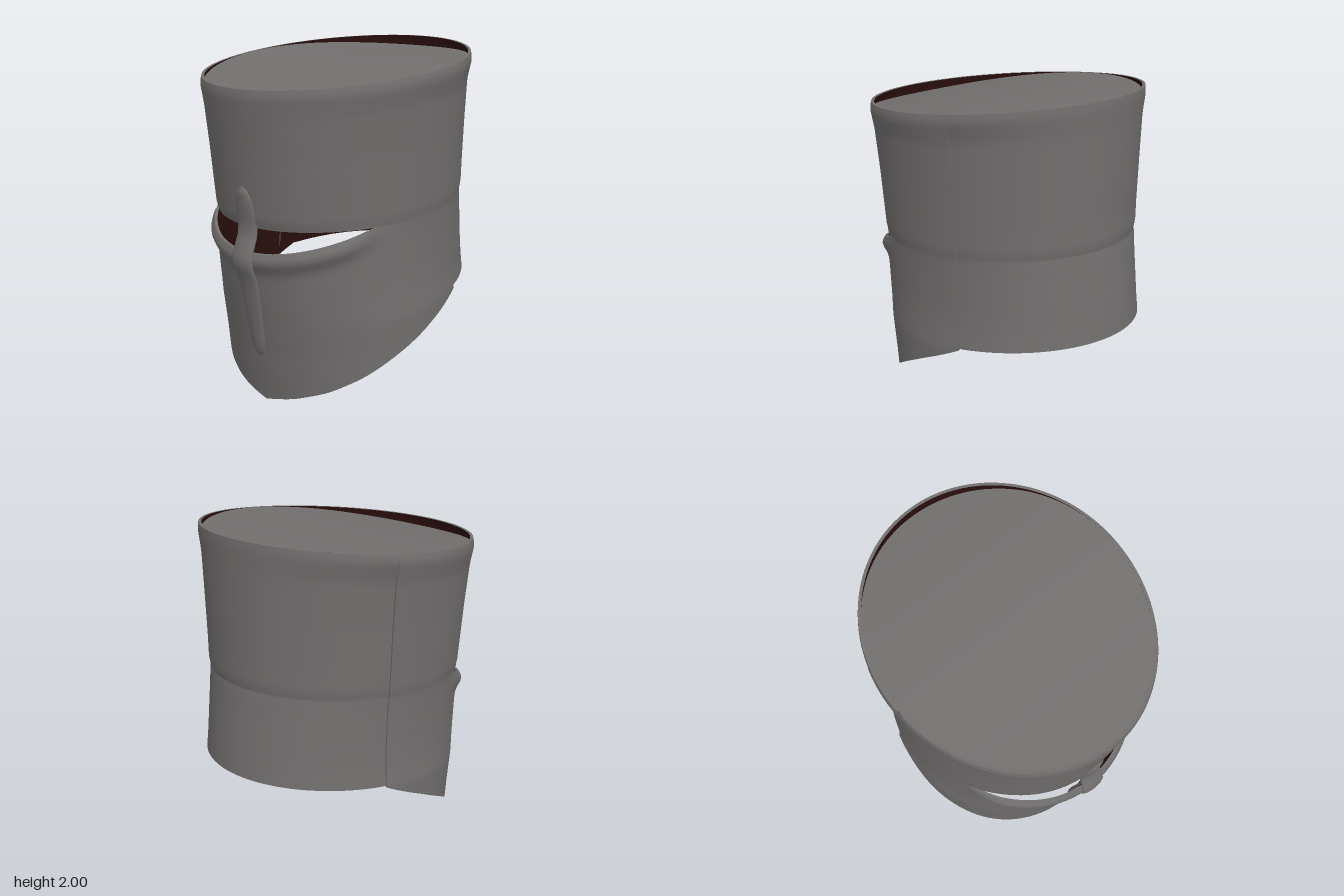
import * as THREE from 'three';

const steel = new THREE.MeshStandardMaterial({ color: 0x716f6e, side: THREE.DoubleSide });
steel.name = 'steel grey';
const dark = new THREE.MeshStandardMaterial({ color: 0x333333, side: THREE.DoubleSide });
dark.name = 'dark grey';
const liner = new THREE.MeshStandardMaterial({ color: 0x2a0e0e, side: THREE.DoubleSide });
liner.name = 'dark red brown';

const RAD = Math.PI / 180;
const SEAM = 108; // angle of the side seam, measured from the front

// Wall profile: [level, half width, front depth, back depth]; level 1 = rim, 0 = brow crease
const PROFILE = [
  [-1.8, 0.7, 0.64, 0.87], [-1.25, 0.7, 0.685, 0.86], [-0.9, 0.704, 0.72, 0.842],
  [-0.7, 0.692, 0.74, 0.828], [-0.5, 0.686, 0.758, 0.815], [-0.2, 0.685, 0.772, 0.792],
  [-0.06, 0.686, 0.765, 0.782], [0, 0.688, 0.752, 0.776], [0.06, 0.695, 0.766, 0.784],
  [0.2, 0.699, 0.778, 0.782], [0.5, 0.708, 0.803, 0.784], [0.8, 0.722, 0.831, 0.785],
  [0.95, 0.745, 0.845, 0.788], [1, 0.735, 0.838, 0.785],
];
// Front hem height by angle, falling to a point at the chin
const HEM = [[0, 0], [17, 0.055], [35, 0.13], [52, 0.225], [70, 0.345], [90, 0.475], [108, 0.605]];

function lookup(table, t, col = 1) {
  let i = 0;
  while (i < table.length - 2 && t > table[i + 1][0]) i++;
  const k = THREE.MathUtils.clamp((t - table[i][0]) / (table[i + 1][0] - table[i][0]), 0, 1);
  return THREE.MathUtils.lerp(table[i][col], table[i + 1][col], k);
}

const rimY = (a) => 1.915 - 0.085 * Math.cos(a);
const browY = (a) => 1.125 - 0.055 * Math.cos(a);
const slitY = (a) => Math.min(browY(a), 1.09 - (0.77 * Math.cos(a) - 0.4) * 0.42);
const frontHemY = (a) => lookup(HEM, Math.abs(a) / RAD);
const backHemY = (a) => 0.61 + 0.06 * THREE.MathUtils.clamp((-Math.cos(a) - 0.3) / 0.7, 0, 1);

// Point on the wall at an angle and height
function wall(a, y, isBack, scale) {
  const d = y - browY(a);
  const v = d > 0 ? d / (rimY(a) - browY(a)) : d / 0.6;
  const c = Math.cos(a), s = Math.sin(a);
  let x = lookup(PROFILE, v, 1) * s;
  let z = lookup(PROFILE, v, c > 0 ? 2 : 3) * c;
  if (isBack) {
    // the back plate tucks under the front plate
    x *= 1 - 0.015 * THREE.MathUtils.smoothstep(1 - v, 0, 0.2);
  } else if (d < 0.001) {
    // rolled lip under the eye slit
    const fade = 1 - THREE.MathUtils.smoothstep(Math.abs(a) / RAD, 45, 66);
    const lip = 0.036 * fade * Math.exp(-(((y - slitY(a) + 0.05) / 0.055) ** 2));
    x += s * lip;
    z += c * lip;
  }
  return [x * scale, y, z * scale];
}

// Surface from a rule f(u, v), both 0..1
function grid(nu, nv, f) {
  const pos = [], idx = [];
  for (let j = 0; j <= nv; j++) for (let i = 0; i <= nu; i++) pos.push(...f(i / nu, j / nv));
  for (let j = 0; j < nv; j++) for (let i = 0; i < nu; i++) {
    const a = j * (nu + 1) + i, c = a + nu + 1;
    idx.push(a, c, a + 1, a + 1, c, c + 1);
  }
  const g = new THREE.BufferGeometry();
  g.setAttribute('position', new THREE.Float32BufferAttribute(pos, 3));
  g.setIndex(idx);
  g.computeVertexNormals();
  return g;
}

function add(group, name, geometry, material) {
  const m = new THREE.Mesh(geometry, material);
  m.name = name;
  group.add(m);
  return m;
}

// One plate with its lining and closed edges
function addPlate(group, name, a0, a1, nu, top, bottom, isBack) {
  const plate = new THREE.Group();
  plate.name = name;
  const inner = 0.978;
  const at = (u, v, k) => {
    const a = a0 + (a1 - a0) * u;
    return wall(a, THREE.MathUtils.lerp(top(a), bottom(a), v), isBack, k);
  };
  const thick = (t) => THREE.MathUtils.lerp(1, inner, t);
  add(plate, name + 'Outside', grid(nu, 32, (u, v) => at(u, v, 1)), steel);
  add(plate, name + 'Lining', grid(nu, 32, (u, v) => at(1 - u, v, inner)), liner);
  for (const e of [0, 1]) {
    add(plate, name + 'Edge', grid(nu, 1, (u, t) => at(u, e, thick(t))), steel);
    add(plate, name + 'SideEdge', grid(1, 32, (t, v) => at(e, v, thick(t))), steel);
  }
  group.add(plate);
}

export function createModel() {
  const helm = new THREE.Group();
  helm.name = 'helmet';

  // Wall plates: the eye slit is the gap between brow and face plates
  const f = SEAM * RAD, b0 = 100 * RAD, b1 = 260 * RAD;
  addPlate(helm, 'browPlate', -f, f, 72, rimY, browY, false);
  addPlate(helm, 'facePlate', -f, f, 72, slitY, frontHemY, false);
  addPlate(helm, 'upperBackPlate', b0, b1, 48, rimY, browY, true);
  addPlate(helm, 'lowerBackPlate', b0, b1, 48, browY, backHemY, true);

  // Slightly dished lid inside the rim
  const lidPoint = (a, r, drop) => {
    const p = wall(a, rimY(a), false, r);
    const c = Math.cos(a);
    return [p[0], 1.915 - 0.085 * c * r - drop * c * c * r * r, p[2]];
  };
  const turn = (u) => u * Math.PI * 2;
  add(helm, 'lid', grid(64, 10, (u, v) => lidPoint(turn(u), 0.99 * v, 0.06)), steel);
  add(helm, 'lidRimInside', grid(64, 1, (u, v) => lidPoint(turn(u), 1 - 0.01 * v, 0.06 * v)), dark);
  add(helm, 'lidLining', grid(64, 6, (u, v) => {
    const p = lidPoint(turn(u), 0.975 * v, 0.06);
    p[1] -= 0.02;
    return p;
  }), liner);

  // Nose guard: [height, centre depth, half width]
  const BAR = [
    [0.28, 0.668, 0.012], [0.31, 0.674, 0.04], [0.38, 0.688, 0.056], [0.55, 0.718, 0.065],
    [0.72, 0.752, 0.072], [0.79, 0.774, 0.076], [0.85, 0.797, 0.077], [0.9, 0.8, 0.077],
    [0.95, 0.783, 0.075], [1.02, 0.757, 0.073], [1.08, 0.75, 0.073], [1.16, 0.762, 0.073],
    [1.22, 0.77, 0.066], [1.27, 0.776, 0.045], [1.3, 0.78, 0.01],
  ];
  add(helm, 'noseGuard', grid(20, 40, (u, v) => {
    const y = THREE.MathUtils.lerp(1.3, 0.28, v);
    const w = lookup(BAR, y, 2), a = turn(u);
    return [Math.sin(a) * w, y, lookup(BAR, y, 1) + Math.cos(a) * 0.024 * Math.min(1, w / 0.04)];
  }), steel);

  return helm;
}
